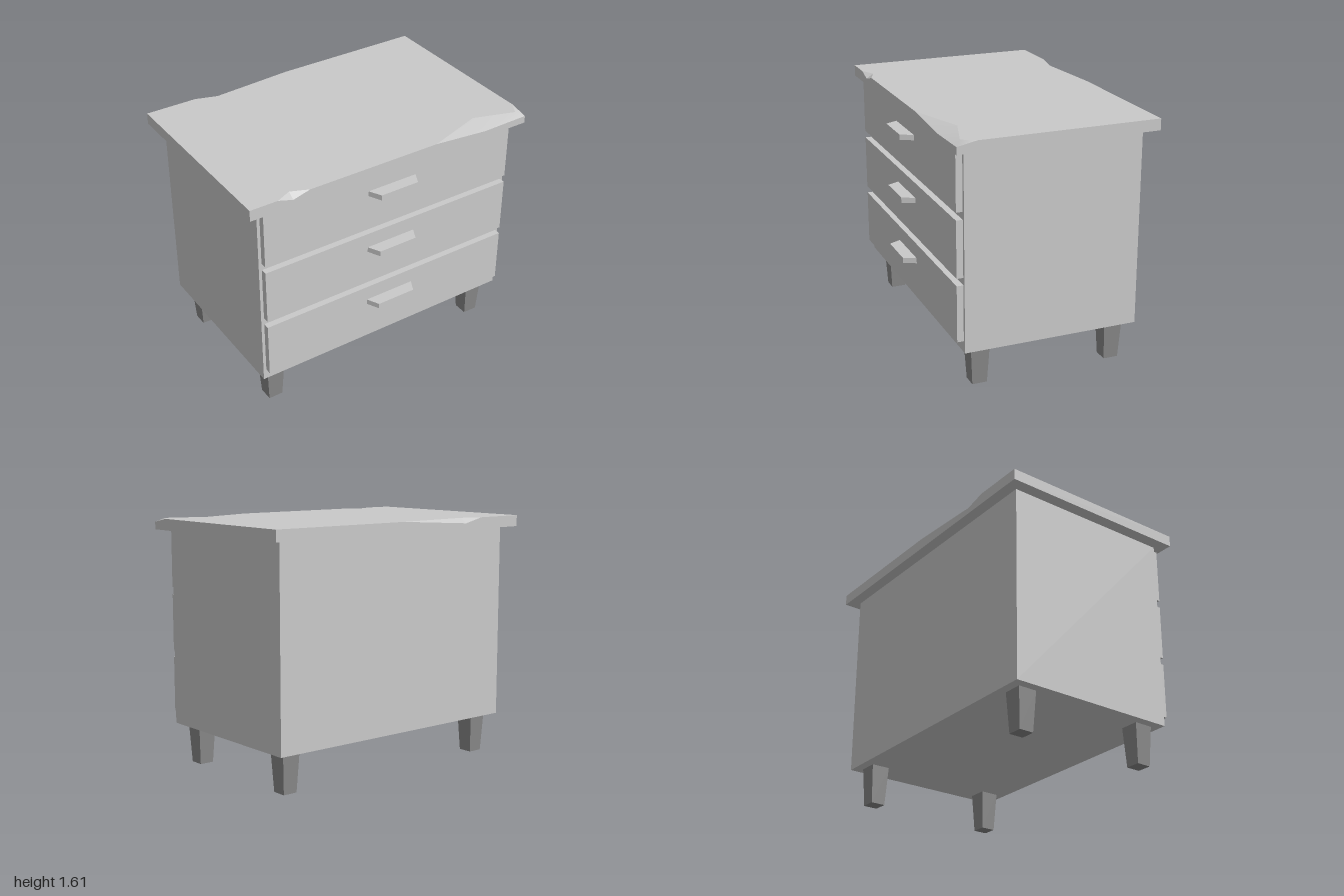
import * as THREE from 'three';
import { mergeVertices } from 'three/addons/utils/BufferGeometryUtils.js';

const V = (x, y, z) => new THREE.Vector3(x, y, z);

// Box given by its min and max on each axis
function boxBetween(x0, x1, y0, y1, z0, z1) {
  return new THREE.BoxGeometry(x1 - x0, y1 - y0, z1 - z0)
    .translate((x0 + x1) / 2, (y0 + y1) / 2, (z0 + z1) / 2);
}

// Runs a rule over every vertex of a geometry
function reshape(geometry, rule) {
  const p = geometry.attributes.position, v = V(0, 0, 0);
  for (let i = 0; i < p.count; i++) {
    rule(v.fromBufferAttribute(p, i));
    p.setXYZ(i, v.x, v.y, v.z);
  }
  geometry.computeVertexNormals();
  return geometry;
}

// Triangulates polygons and turns each triangle towards its outward direction
function facesGeometry(faces) {
  const out = [];
  for (const [points, outward] of faces) {
    const flat = points.map((p) =>
      outward.y ? new THREE.Vector2(p.x, p.z)
        : outward.z ? new THREE.Vector2(p.x, p.y) : new THREE.Vector2(p.z, p.y));
    for (const [a, b, c] of THREE.ShapeUtils.triangulateShape(flat, [])) {
      const tri = [points[a], points[b], points[c]];
      const n = tri[1].clone().sub(tri[0]).cross(tri[2].clone().sub(tri[0]));
      if (n.dot(outward) < 0) tri.reverse();
      tri.forEach((p) => out.push(p.x, p.y, p.z));
    }
  }
  const g = new THREE.BufferGeometry();
  g.setAttribute('position', new THREE.Float32BufferAttribute(out, 3));
  g.computeVertexNormals();
  return g;
}

export function createModel() {
  const model = new THREE.Group();
  model.name = 'chestOfDrawers';
  const paint = new THREE.MeshStandardMaterial({ color: 0xc9c9c9 });
  paint.name = 'light grey';
  const legPaint = new THREE.MeshStandardMaterial({ color: 0x888888 });
  legPaint.name = 'dark grey';

  const add = (name, geometry, material = paint) => {
    const mesh = new THREE.Mesh(geometry, material);
    mesh.name = name;
    model.add(mesh);
    return mesh;
  };

  // Cabinet
  add('cabinet', boxBetween(-0.92, 0.92, 0.26, 1.54, -0.6, 0.55));

  // Three drawers, each with a handle that narrows towards the front
  [0.333, 0.745, 1.159].forEach((y, i) => {
    add(`drawerFront${i + 1}`, boxBetween(-0.9, 0.9, y, y + 0.365, 0.55, 0.592));
    const handle = reshape(boxBetween(-0.173, 0.173, 0, 0.035, 0.592, 0.672), (v) => {
      if (v.z > 0.65) v.x *= 0.77;
    });
    add(`handle${i + 1}`, handle.translate(0, y + 0.23, 0));
  });

  // Tapered square legs
  for (const [side, x] of [['Left', 0.7975], ['Right', -0.7975]]) {
    for (const [end, z] of [['front', 0.4275], ['back', -0.4775]]) {
      const leg = reshape(new THREE.BoxGeometry(0.125, 0.26, 0.125), (v) => {
        if (v.y < 0) { v.x *= 0.77; v.z *= 0.77; }
      });
      add(`${end}${side}Leg`, leg, legPaint).position.set(x, 0.13, z);
    }
  }

  // Worn top board
  const T = 1.61, B = 1.537, F = 0.622, K = -0.674;
  // Small front chip: two ends, low point, inner point
  const c0 = V(-0.815, T, F), c1 = V(-0.6, T, F), cLow = V(-0.715, 1.58, F), cIn = V(-0.715, T, 0.575);
  // Back chip
  const k0 = V(-0.66, T, K), k1 = V(0.02, T, K), kLow = V(-0.52, 1.577, K), kIn = V(-0.52, T, -0.63);
  // Large worn front corner
  const w0 = V(0.3, T, F), wLow = V(0.68, 1.578, F), wCorner = V(1, 1.585, F);
  const wSide = V(1, T, 0.495), wIn = V(0.95, T, 0.582), wMid = V(0.68, T, 0.495);
  // Plain corners
  const tfr = V(-1, T, F), tbr = V(-1, T, K), tbl = V(1, T, K);
  const bfr = V(-1, B, F), bbr = V(-1, B, K), bbl = V(1, B, K), bfl = V(1, B, F);
  const up = V(0, 1, 0), front = V(0, 0, 1), back = V(0, 0, -1);

  add('topBoard', facesGeometry([
    [[tfr, c0, cIn, c1, w0, wMid, wIn, wSide, tbl, k1, kIn, k0, tbr], up],
    [[tfr, c0, cLow, c1, w0, wLow, wCorner, bfl, bfr], front],
    [[tbr, k0, kLow, k1, tbl, bbl, bbr], back],
    [[wCorner, wSide, tbl, bbl, bfl], V(1, 0, 0)],
    [[tfr, tbr, bbr, bfr], V(-1, 0, 0)],
    [[bfr, bfl, bbl, bbr], V(0, -1, 0)],
  ]));
  add('topChips', facesGeometry([
    [[c0, cLow, cIn], up], [[cLow, c1, cIn], up],
    [[k0, kLow, kIn], up], [[kLow, k1, kIn], up],
  ]));

  // Softly worn corner with shared normals
  const worn = facesGeometry([
    [[w0, wLow, wMid], up], [[wLow, wIn, wMid], up],
    [[wLow, wCorner, wIn], up], [[wCorner, wSide, wIn], up],
  ]);
  worn.deleteAttribute('normal');
  const wornSmooth = mergeVertices(worn);
  wornSmooth.computeVertexNormals();
  add('wornCorner', wornSmooth);

  return model;
}
